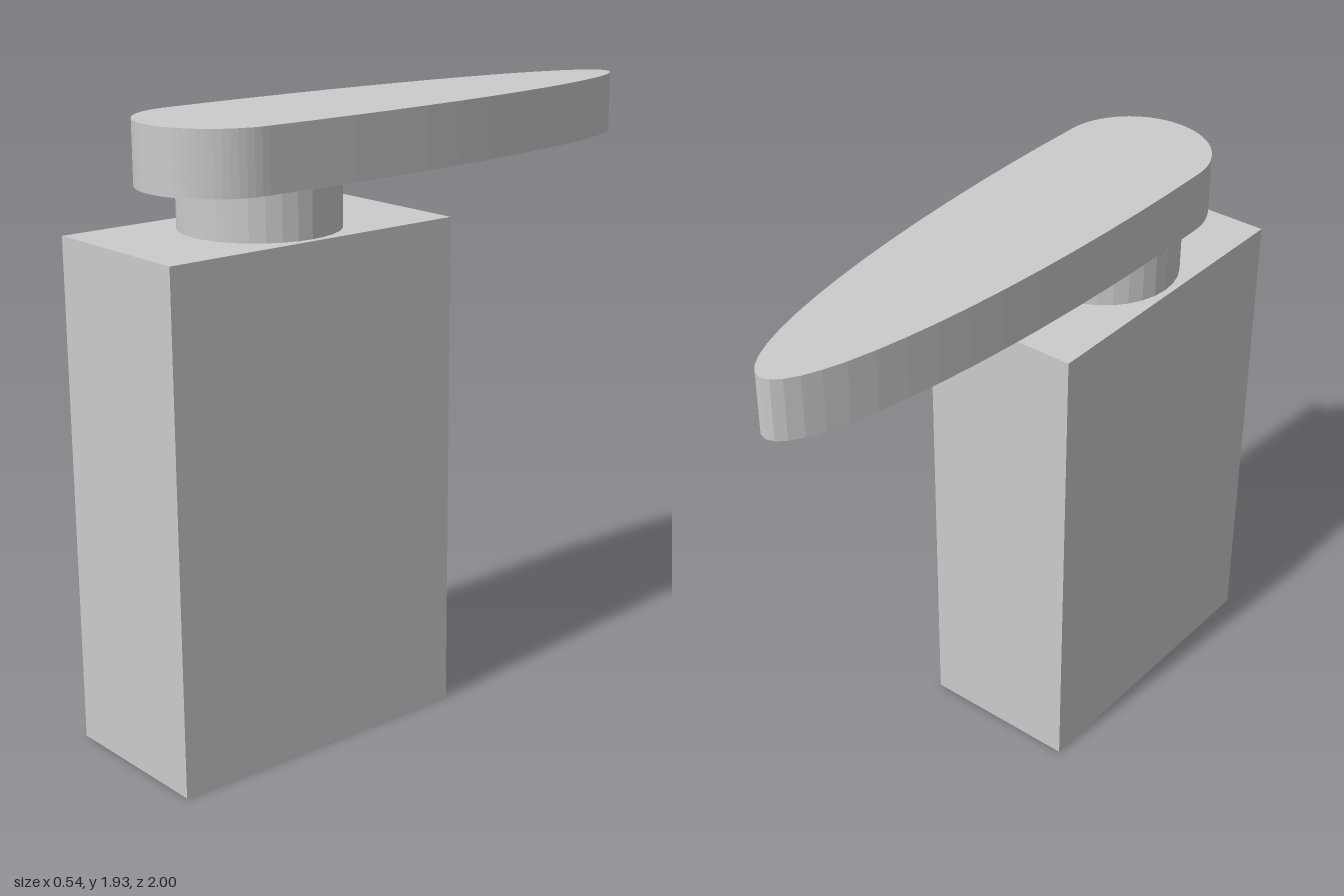
import * as THREE from 'three';

export function createModel() {
  const model = new THREE.Group();
  const material = new THREE.MeshStandardMaterial({ color: 0xcccccc, flatShading: true });

  const add = (name, geometry, x, y, z) => {
    const mesh = new THREE.Mesh(geometry, material);
    mesh.name = name;
    mesh.position.set(x, y, z);
    model.add(mesh);
  };

  // Upright block and the round neck on top of it
  add('body', new THREE.BoxGeometry(0.535, 1.587, 1.033), 0, 0.7935, 0.4835);
  add('neck', new THREE.CylinderGeometry(0.246, 0.246, 0.144, 32), 0, 1.659, 0.487);

  // Lever outline: long half ellipse tapering to the back, round end at the front
  const start = -Math.asin(0.185 / 1.45);
  const outline = new THREE.Shape();
  outline.absellipse(0, -0.45, 0.245, 1.45, start, Math.PI - start, false);
  outline.absellipse(0, -0.635, 0.243, 0.243, Math.PI, 2 * Math.PI, false);
  const lever = new THREE.ExtrudeGeometry(outline, { depth: 0.195, bevelEnabled: false, curveSegments: 16 });
  lever.rotateX(-Math.PI / 2);
  add('lever', lever, 0, 1.731, 0);

  return model;
}
